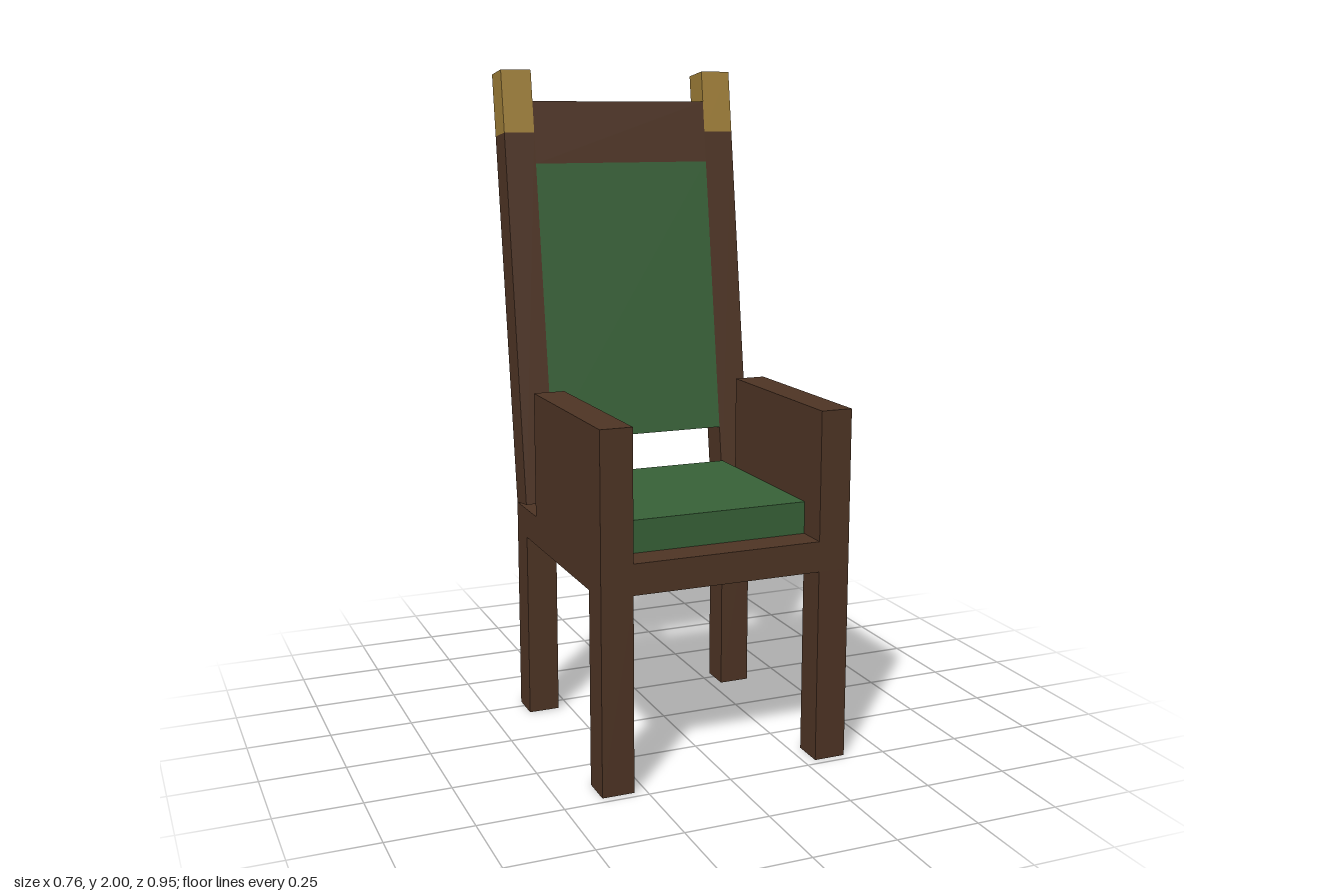
import * as THREE from 'three';

export function createModel() {
  const chair = new THREE.Group();
  chair.name = 'highBackArmchair';

  const material = (name, color) =>
    new THREE.MeshStandardMaterial({ name, color, side: THREE.DoubleSide });
  const wood = material('dark wood', 0x4f3525);
  const fabric = material('green fabric', 0x386238);
  const gold = material('gold', 0xa18039);

  const U = 2 / 21; // construction module: the thickness of every post

  // Box from its minimum and maximum corners, in modules
  function box(parent, name, mat, min, max, openBottom = false) {
    const size = max.map((v, i) => (v - min[i]) * U);
    const geometry = new THREE.BoxGeometry(...size);
    if (openBottom) {
      // drop the -y face (fourth of six quads)
      const index = Array.from(geometry.index.array);
      index.splice(18, 6);
      geometry.setIndex(index);
    }
    geometry.translate(...max.map((v, i) => ((v + min[i]) / 2) * U));
    const mesh = new THREE.Mesh(geometry, mat);
    mesh.name = name;
    parent.add(mesh);
    return mesh;
  }

  // Seat and cushion
  box(chair, 'seat', wood, [-4, 6.05, -3], [4, 7, 5]);
  box(chair, 'seatCushion', fabric, [-3, 7, -2], [3, 8, 4]);

  // Reclined back, pivoting on the rear edge of the seat
  const back = new THREE.Group();
  back.name = 'back';
  back.position.set(0, 7 * U, -3 * U);
  back.rotation.x = THREE.MathUtils.degToRad(-8);
  chair.add(back);
  box(back, 'topRail', wood, [-3, 11, 0], [3, 13, 1]);
  box(back, 'backPanel', fabric, [-3, 2, 0], [3, 11, 1]);

  // Legs, arms and back posts on both sides
  for (const [side, x] of [['left', 3], ['right', -4]]) {
    box(chair, `${side}FrontLeg`, wood, [x, 0, 4], [x + 1, 6.05, 5], true);
    box(chair, `${side}BackLeg`, wood, [x, 0, -3], [x + 1, 6.05, -2], true);
    box(chair, `${side}Arm`, wood, [x, 7, -1], [x + 1, 11, 5]);
    box(back, `${side}BackPost`, wood, [x, 0, 0], [x + 1, 12, 1]);
    box(back, `${side}Finial`, gold, [x, 12, 0], [x + 1, 14, 1]);
  }

  return chair;
}
